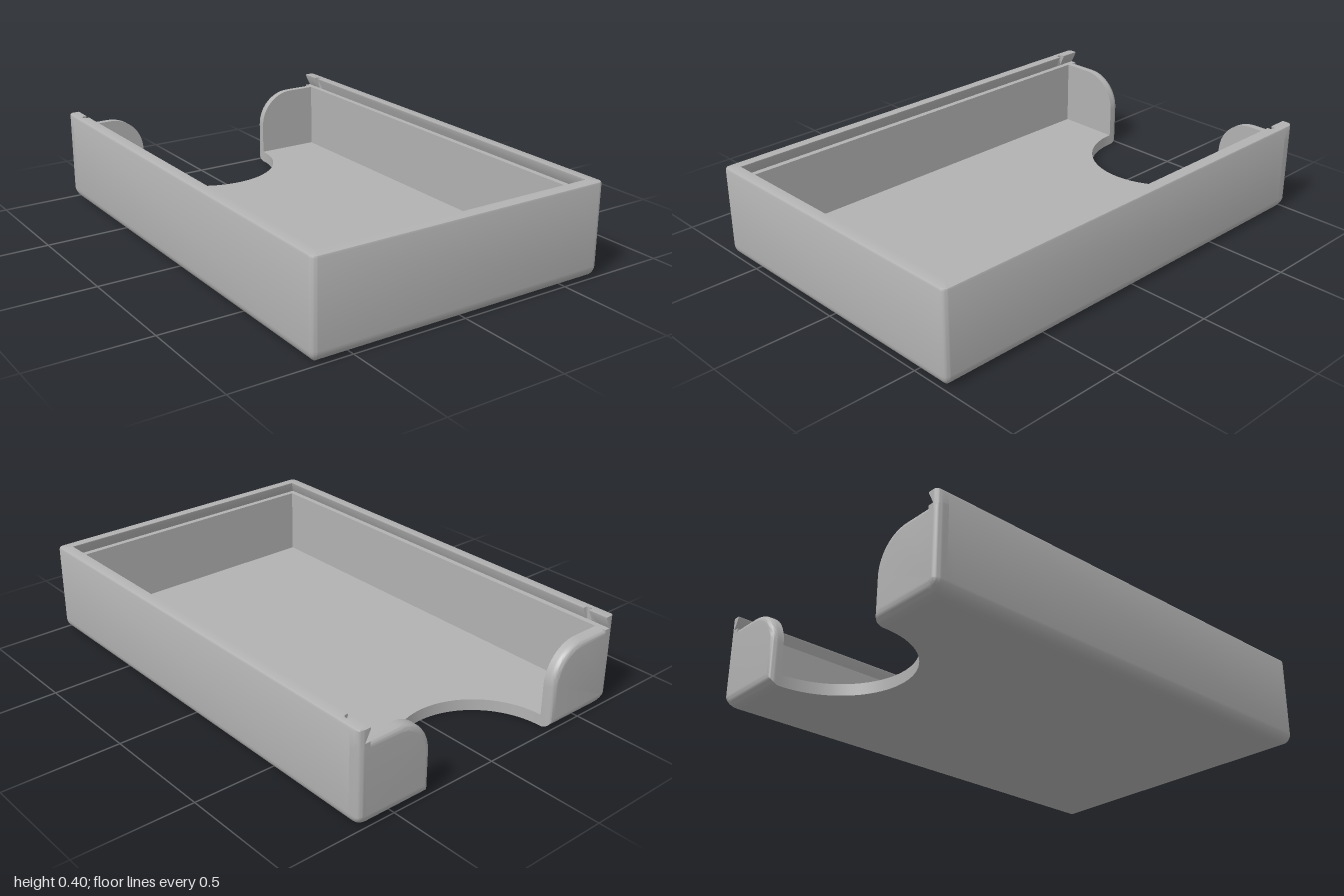
import * as THREE from 'three';
import { toCreasedNormals } from 'three/addons/utils/BufferGeometryUtils.js';

const W = 0.62, L = 0.95;        // half size of the inside
const T = 0.05;                  // wall and floor thickness
const R = 0.025;                 // upright edge rounding
const LEDGE = 0.345, TOP = 0.4;  // groove floor and rim heights
const CUT = 0.33;                // radius of the thumb cutout

// Skins closed rings of points and caps both ends, facing outward.
function loft(rings, flat) {
  const centre = r => r.reduce((s, p) => s.add(p), new THREE.Vector3()).divideScalar(r.length);
  const area = new THREE.Vector3(), c0 = centre(rings[0]);
  rings[0].forEach((p, i, r) => area.add(
    p.clone().sub(c0).cross(r[(i + 1) % r.length].clone().sub(c0))));
  if (area.dot(centre(rings[1]).sub(c0)) < 0) rings.forEach(r => r.reverse());

  const pos = [];
  const tri = (a, b, c) => {
    const n = b.clone().sub(a).cross(c.clone().sub(a));
    if (n.length() > 1e-10) [a, b, c].forEach(p => pos.push(p.x, p.y, p.z));
    return n;
  };
  for (let i = 0; i + 1 < rings.length; i++) {
    const A = rings[i], B = rings[i + 1], n = A.length;
    for (let j = 0; j < n; j++) {
      const k = (j + 1) % n;
      tri(A[j], A[k], B[k]);
      tri(A[j], B[k], B[j]);
    }
  }
  const cap = (ring, next) => {
    const out = centre(ring).sub(centre(next));
    for (const [a, b, c] of THREE.ShapeUtils.triangulateShape(ring.map(flat), [])) {
      const n = ring[b].clone().sub(ring[a]).cross(ring[c].clone().sub(ring[a]));
      if (n.dot(out) > 0) tri(ring[a], ring[b], ring[c]);
      else tri(ring[a], ring[c], ring[b]);
    }
  };
  cap(rings[0], rings[1]);
  cap(rings[rings.length - 1], rings[rings.length - 2]);

  const g = new THREE.BufferGeometry();
  g.setAttribute('position', new THREE.Float32BufferAttribute(pos, 3));
  return toCreasedNormals(g, 0.6);
}

// Front and side walls: one profile with a dovetail groove, swept in a U.
function wallGeometry() {
  // profile points: [distance outward from the inner face, height]
  const profile = [[0, 0], [0, T], [0, LEDGE], [0.025, LEDGE], [0, TOP - 0.005], [0, TOP],
    [0.04, TOP], [0.047, TOP - 0.003], [T, TOP - 0.01]];
  for (let i = 0; i <= 8; i++) {
    const a = i / 8 * Math.PI / 2;
    profile.push([T * Math.cos(a), T - T * Math.sin(a)]);
  }
  profile.pop();

  const half = [];
  const side = (z, lipOnly) => half.push(profile.map(([d, y], i) => {
    // small round catch notch in the lip
    const dz = Math.abs(z + 0.9);
    if ((i === 4 || i === 5) && dz < 0.0139) d = Math.max(d, 0.01 + Math.sqrt(0.014 ** 2 - dz * dz));
    // rounded rear edge
    const over = Math.max(0, -0.975 - z);
    d = Math.min(d, T - R + Math.sqrt(Math.max(0, R * R - over * over)));
    return new THREE.Vector3(W + d, lipOnly ? Math.max(y, 0.32) : y, z);
  }));
  for (let i = 0; i <= 6; i++) side(-0.975 - R * Math.cos(i / 6 * Math.PI / 2), true);
  side(-L, true);
  side(-L, false);
  side(-0.915, false);
  for (let i = 0; i <= 12; i++) side(-0.9 - 0.0139 * Math.cos(i / 12 * Math.PI), false);
  side(-0.885, false);
  // front corner: sharp inside, rounded outside
  for (let i = 0; i <= 6; i++) {
    const a = i / 6 * Math.PI / 2;
    half.push(profile.map(([d, y]) => {
      const r = Math.max(0, d - R), c = Math.min(d, R);
      return new THREE.Vector3(W + c + r * Math.cos(a), y, L + c + r * Math.sin(a));
    }));
  }
  const mirrored = half.map(r => r.map(p => new THREE.Vector3(-p.x, p.y, p.z))).reverse();
  return loft([...half, ...mirrored], p => new THREE.Vector2(p.x, p.y));
}

// Rear wall stub beside the cutout, with a large curved shoulder.
function stubGeometry(s) {
  const rings = [], shoulder = 0.16;
  for (let k = 0; k <= 12; k++) {
    const d = T * Math.sin(k / 12 * Math.PI / 2);
    const e = d < R ? 0 : R - Math.sqrt(Math.max(0, R * R - (d - R) ** 2));
    const base = T - Math.sqrt(Math.max(0, T * T - d * d));
    const ring = [];
    const add = (x, y) => ring.push(new THREE.Vector3(s * x, y, -L - d));
    for (let i = 0; i <= 14; i++) {
      const a = Math.PI - i / 14 * Math.PI / 2;
      add(CUT + shoulder + (shoulder - e) * Math.cos(a),
        LEDGE - shoulder + (shoulder - e) * Math.sin(a));
    }
    add(W + T - e, LEDGE - e);
    for (let i = 0; i <= 8; i++) {
      const a = i / 8 * Math.PI / 2;
      add(W + (T - e) * Math.cos(a), T - (T - base) * Math.sin(a));
    }
    add(CUT + e, base);
    rings.push(ring);
  }
  return loft(rings, p => new THREE.Vector2(p.x, p.y));
}

// Floor plate with the half-round thumb cutout at the rear.
function floorGeometry() {
  const shape = new THREE.Shape();
  shape.moveTo(-W, -L);
  shape.lineTo(W, -L);
  shape.lineTo(W, L);
  shape.lineTo(CUT, L);
  shape.absarc(0, L, CUT, 0, -Math.PI, true);
  shape.lineTo(-W, L);
  shape.closePath();
  const g = new THREE.ExtrudeGeometry(shape, { depth: T, bevelEnabled: false, curveSegments: 48 });
  g.rotateX(-Math.PI / 2);
  return toCreasedNormals(g, 0.6);
}

export function createModel() {
  const group = new THREE.Group();
  group.name = 'slidingLidTray';
  const grey = new THREE.MeshStandardMaterial({ color: 0xb2b2b2 });
  grey.name = 'grey plastic';
  const add = (name, geometry) => {
    const mesh = new THREE.Mesh(geometry, grey);
    mesh.name = name;
    group.add(mesh);
  };
  add('floor', floorGeometry());
  add('groovedWalls', wallGeometry());
  add('leftRearWall', stubGeometry(1));
  add('rightRearWall', stubGeometry(-1));
  return group;
}
